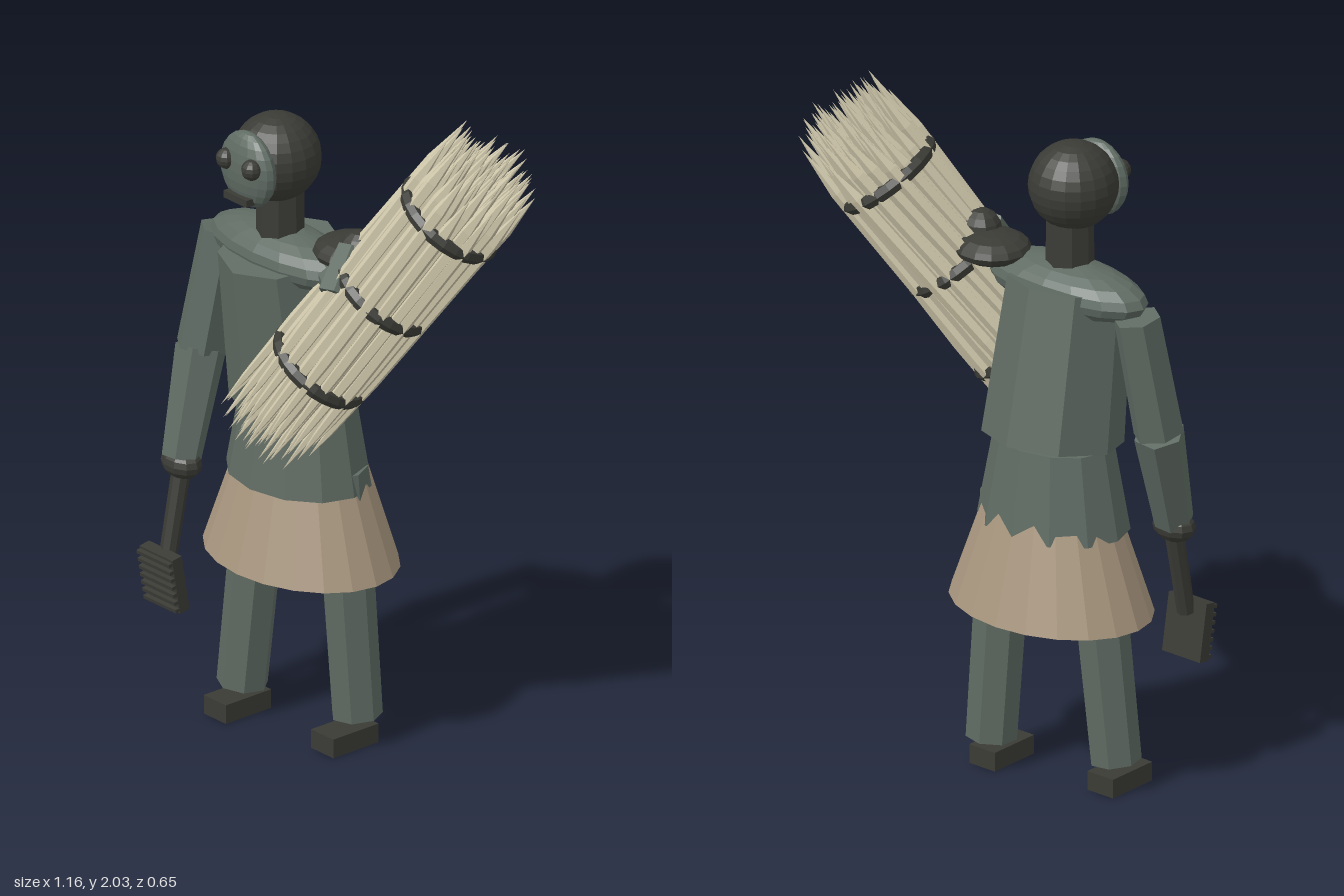
import * as THREE from 'three';

const mat = (name, color) => {
  const m = new THREE.MeshStandardMaterial({ color });
  m.name = name;
  return m;
};
const V = (x, y, z) => new THREE.Vector3(x, y, z);
const UP = V(0, 1, 0);

// faceted look without touching the materials
function facet(geo) {
  const g = geo.index ? geo.toNonIndexed() : geo;
  g.computeVertexNormals();
  return g;
}

export function createModel() {
  const body = mat('grey green', 0x5f6b63);
  const dark = mat('charcoal', 0x3b3b36);
  const cloth = mat('tan cloth', 0xa9977f);
  const straw = mat('pale straw', 0xd0c8ac);
  const model = new THREE.Group();
  model.name = 'strawCarrier';

  const add = (name, geo, material, pos, parent = model) => {
    const m = new THREE.Mesh(facet(geo), material);
    m.name = name;
    if (pos) m.position.copy(pos);
    parent.add(m);
    return m;
  };
  const ellipsoid = (name, material, pos, rx, ry, rz, w = 14, h = 10) =>
    add(name, new THREE.SphereGeometry(1, w, h).scale(rx, ry, rz), material, pos);
  // tapered cylinder running from a to b
  const limb = (name, material, a, b, ra, rb, sides = 6) => {
    const d = b.clone().sub(a);
    const m = add(name, new THREE.CylinderGeometry(rb, ra, d.length(), sides), material,
      a.clone().add(b).multiplyScalar(0.5));
    m.quaternion.setFromUnitVectors(UP, d.normalize());
    return m;
  };

  const cx = -0.21; // middle line of the figure

  // head and face
  ellipsoid('head', dark, V(cx, 1.8, 0.045), 0.13, 0.13, 0.13, 18, 14);
  ellipsoid('face', body, V(cx, 1.79, 0.15), 0.11, 0.115, 0.045, 16, 12);
  for (const s of [-1, 1]) {
    ellipsoid(s < 0 ? 'rightEye' : 'leftEye', dark, V(cx + s * 0.055, 1.815, 0.185), 0.031, 0.031, 0.031, 10, 8);
  }
  add('mouth', new THREE.BoxGeometry(0.1, 0.022, 0.04), dark, V(cx, 1.71, 0.18));
  limb('neck', dark, V(cx, 1.53, 0.03), V(cx, 1.72, 0.03), 0.07, 0.068, 8);

  // trunk leaning forward from the waist
  limb('torso', body, V(cx, 1.05, -0.045), V(cx, 1.51, 0.03), 0.205, 0.18, 8);
  ellipsoid('shoulders', body, V(cx, 1.5, 0.02), 0.285, 0.08, 0.12, 16, 10);
  add('abdomen', new THREE.CylinderGeometry(0.19, 0.24, 0.26, 12).scale(1, 1, 0.77),
    body, V(cx, 0.92, -0.04));
  add('skirt', new THREE.CylinderGeometry(0.205, 0.325, 0.33, 20).scale(1, 1, 0.75),
    cloth, V(cx, 0.705, -0.05));

  // legs and feet, one a little ahead of the other
  const legs = [
    ['right', V(-0.335, 0.85, -0.025), V(-0.4, 0.085, 0.007), 0.025],
    ['left', V(-0.055, 0.85, -0.06), V(-0.022, 0.085, -0.093), -0.05],
  ];
  for (const [side, hip, ankle, footZ] of legs) {
    limb(side + 'Leg', body, hip, ankle, 0.08, 0.075, 7);
    add(side + 'Foot', new THREE.BoxGeometry(0.096, 0.058, 0.17), dark, V(ankle.x - 0.001, 0.029, footZ));
  }

  // right arm hanging down
  const elbow = V(-0.513, 1.11, 0.065);
  limb('rightUpperArm', body, V(-0.478, 1.475, 0.01), elbow, 0.07, 0.075);
  limb('rightForearm', body, elbow, V(-0.488, 0.8, 0.16), 0.075, 0.058);
  ellipsoid('rightHand', dark, V(-0.488, 0.785, 0.16), 0.07, 0.047, 0.05, 10, 8);

  // brush held in the right hand
  limb('brushHandle', dark, V(-0.487, 0.78, 0.158), V(-0.485, 0.5, 0.215), 0.028, 0.026, 8);
  const brush = new THREE.Group();
  brush.name = 'brushHead';
  brush.position.set(-0.483, 0.448, 0.228);
  brush.rotation.x = 0.17;
  model.add(brush);
  add('brushPlate', new THREE.BoxGeometry(0.142, 0.175, 0.036), dark, null, brush);
  for (let i = 0; i < 7; i++) {
    add('brushRidge', new THREE.BoxGeometry(0.14, 0.011, 0.016), dark, V(0, -0.075 + i * 0.025, 0.024), brush);
  }

  // left arm bent around the bundle
  ellipsoid('leftShoulderPad', dark, V(0.03, 1.565, -0.03), 0.115, 0.045, 0.11, 14, 8);
  ellipsoid('leftElbow', dark, V(0.092, 1.595, -0.005), 0.06, 0.06, 0.06, 10, 8);
  limb('leftForearm', body, V(0.088, 1.6, 0.01), V(0.115, 1.49, 0.1), 0.05, 0.058);
  limb('leftHand', body, V(0.0, 1.5, 0.02), V(0.12, 1.48, 0.09), 0.055, 0.05);

  // straw bundle: local y runs along the bundle, zero at the lowest band
  const bundle = new THREE.Group();
  bundle.name = 'strawBundle';
  bundle.position.set(0.02, 1.235, 0.08);
  bundle.quaternion.setFromUnitVectors(UP, V(0.315, 0.505, -0.215).normalize());
  model.add(bundle);

  let seed = 7;
  const rand = () => (seed = (seed * 16807) % 2147483647) / 2147483647;
  const count = 84;
  const reedShape = [[0, 0], [0.011, 0.1], [0.02, 0.3], [0.021, 0.86], [0.0, 1]];
  for (let i = 0; i < count; i++) {
    const r = Math.sqrt((i + 0.5) / count);
    const a = i * 2.39996;
    const twist = 0.2 + 0.15 * rand();
    const rim = 1 - r * r;
    const low = V(Math.cos(a - twist) * r * 0.15, -0.2 - 0.1 * rand() - 0.04 * rim, Math.sin(a - twist) * r * 0.15);
    const high = V(Math.cos(a + twist) * r * 0.155, 0.79 + 0.1 * rand() + 0.03 * rim, Math.sin(a + twist) * r * 0.155);
    const d = high.clone().sub(low);
    const len = d.length();
    const profile = reedShape.map(([x, t]) => new THREE.Vector2(x, t * len));
    const reed = add('reed', new THREE.LatheGeometry(profile, 5), straw, low, bundle);
    reed.quaternion.setFromUnitVectors(UP, d.normalize());
  }
  [[0, 0.143], [0.31, 0.143], [0.63, 0.15]].forEach(([y, r]) => {
    const band = new THREE.TorusGeometry(r, 0.018, 6, 24).rotateX(Math.PI / 2).scale(1, 1.25, 1);
    add('band', band, dark, V(0, y, 0), bundle);
  });

  return model;
}
